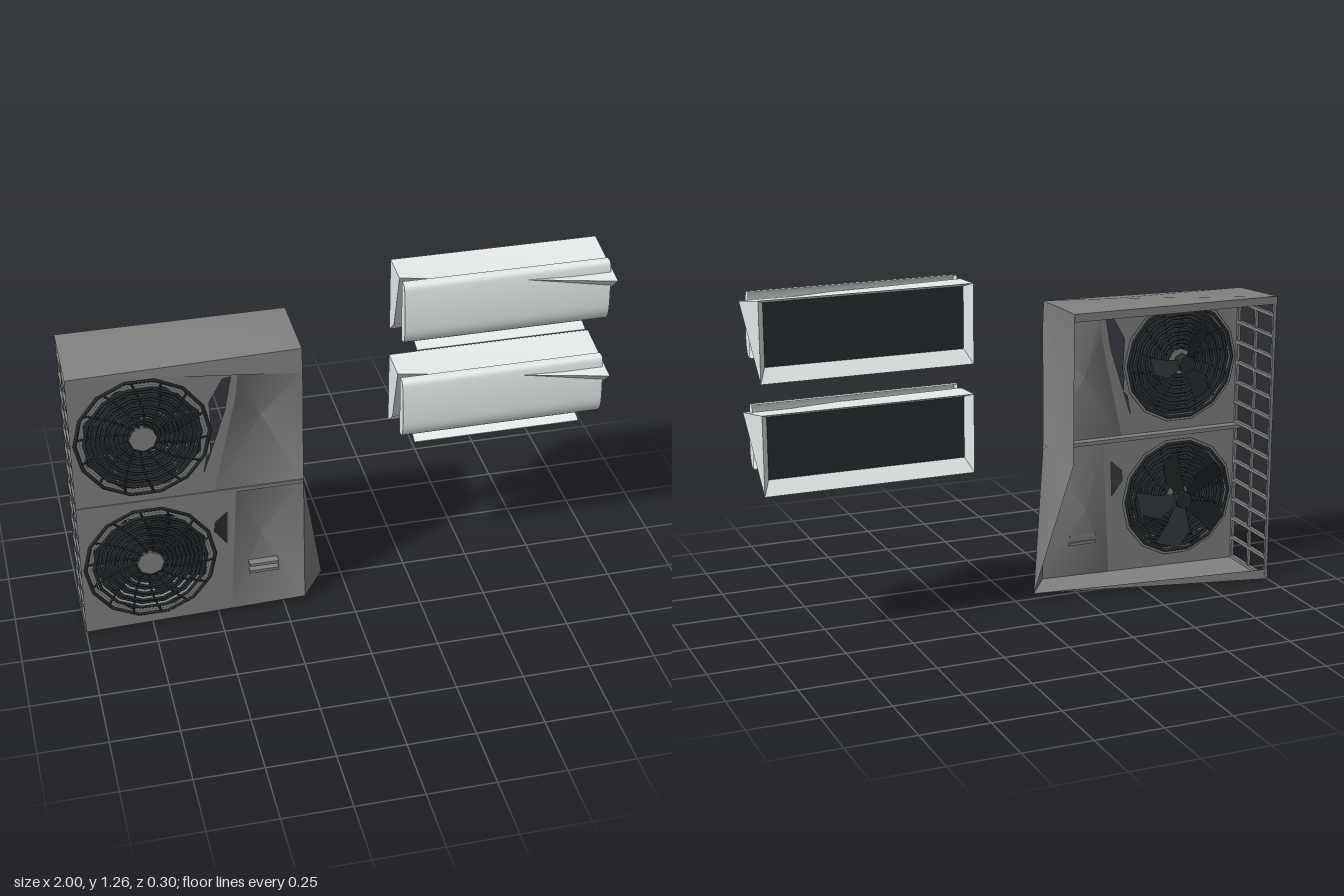
import * as THREE from 'three';
import { toCreasedNormals } from 'three/addons/utils/BufferGeometryUtils.js';

const V = (x, y) => new THREE.Vector2(x, y);
const mat = (color) => new THREE.MeshStandardMaterial({ color, side: THREE.DoubleSide });
const grey = mat(0x828282), dark = mat(0x262d30), white = mat(0xe6ebeb);

function add(parent, name, geometry, material, x = 0, y = 0, z = 0) {
  const mesh = new THREE.Mesh(geometry, material);
  mesh.name = name;
  mesh.position.set(x, y, z);
  parent.add(mesh);
  return mesh;
}

// Folded sheet from corner points and triangles
function sheet(points, faces) {
  const g = new THREE.BufferGeometry();
  g.setAttribute('position', new THREE.Float32BufferAttribute(points.flat(), 3));
  g.setIndex(faces.flat());
  return toCreasedNormals(g, 0.7);
}

// Triangle fan from a centre point around a ring of corners
function fan(centre, ring) {
  return sheet([centre, ...ring], ring.map((_, i) => [0, i + 1, ((i + 1) % ring.length) + 1]));
}

// Fan opening with guard rings, spokes, hub and blades
function createFan(blades, bladeScale) {
  const g = new THREE.Group();
  g.name = 'fan';
  const frame = add(g, 'guardFrame', new THREE.RingGeometry(0.22, 0.258, 8), grey, 0, 0, 0.141);
  frame.rotation.z = Math.PI / 8;
  for (let i = 0; i < 12; i++) {
    const r = 0.06 + i * 0.0163;
    add(g, 'guardRing', new THREE.TorusGeometry(r, 0.0065, 4, 14), dark, 0, 0, i % 2 ? 0.142 : 0.135);
  }
  for (let i = 0; i < 14; i++) {
    const a = (i / 14) * Math.PI * 2;
    const p = (r, t) => new THREE.Vector3(r * Math.cos(a + t), r * Math.sin(a + t), 0.143);
    const curve = new THREE.QuadraticBezierCurve3(p(0.045, 0), p(0.13, 0.1), p(0.235, 0.35));
    add(g, 'guardSpoke', new THREE.TubeGeometry(curve, 5, 0.004, 4), dark);
  }
  add(g, 'guardHub', new THREE.CylinderGeometry(0.05, 0.05, 0.01, 8), grey, 0, 0, 0.144).rotation.x = Math.PI / 2;
  add(g, 'bladeHub', new THREE.CylinderGeometry(0.035, 0.035, 0.05, 8), dark, 0, 0, 0.1).rotation.x = Math.PI / 2;
  const blade = new THREE.Shape([V(0.03, -0.02), V(0.11, -0.065), V(0.19, -0.04), V(0.195, 0.05), V(0.11, 0.03), V(0.03, 0.025)]);
  for (let i = 0; i < blades; i++) {
    const pivot = new THREE.Group();
    pivot.name = 'bladePivot';
    pivot.rotation.z = (i / blades) * Math.PI * 2;
    const mesh = add(pivot, 'blade', new THREE.ShapeGeometry(blade), dark, 0, 0, 0.09);
    mesh.rotation.x = 0.4;
    mesh.scale.setScalar(bladeScale);
    g.add(pivot);
  }
  return g;
}

// Front sheet around one fan, with the round opening and a gap beside it
function fanPanel(outline, cy, gap) {
  const shape = new THREE.Shape(outline);
  const hole = new THREE.Path();
  hole.absarc(-0.745, cy, 0.225, 0, Math.PI * 2, true);
  shape.holes.push(hole, new THREE.Path(gap));
  return new THREE.ShapeGeometry(shape, 16);
}

function createOutdoorUnit() {
  const g = new THREE.Group();
  g.name = 'outdoorUnit';
  const F = 0.137, B = -0.145, L = -1, R = -0.17, M = 0.553;
  const peak = [-0.075, 0.02, 0], corner = [R, 1.02, 0.145];
  const topCorner = [R, 1.115, F], foot = [R, 0.02, F];

  // Front panels and the dented service panels beside them
  add(g, 'lowerFrontPanel', fanPanel(
    [V(L, 0), V(-0.45, 0.013), V(-0.42, M), V(L, M)], 0.285,
    [V(-0.455, 0.46), V(-0.5, 0.42), V(-0.505, 0.38), V(-0.46, 0.32)]), grey, 0, 0, F);
  add(g, 'upperFrontPanel', fanPanel(
    [V(L, M), V(-0.5, M), V(-0.41, 0.95), V(-0.4, 1.04), V(L, 1.1)], 0.83,
    [V(-0.425, 1.035), V(-0.455, 1.03), V(-0.505, 0.94), V(-0.5, 0.82), V(-0.535, 0.64), V(-0.45, 0.9)]), grey, 0, 0, F);
  add(g, 'lowerServicePanel', fan([-0.32, 0.3, 0.07],
    [[-0.45, 0.013, F], foot, [R, M, F], [-0.42, M, F]]), grey);
  add(g, 'upperServicePanel', fan([-0.31, 0.82, 0.07],
    [[-0.5, M, F], [R, M, F], corner, [-0.4, 1.04, F], [-0.41, 0.95, F]]), grey);

  // Pipe valves in the service recess
  for (const y of [0.16, 0.19]) add(g, 'valve', new THREE.BoxGeometry(0.11, 0.012, 0.03), grey, -0.32, y, 0.11);

  // Folded top, side and base sheets
  add(g, 'topCover', fan([-0.38, 1.133, 0], [[L, 1.1, F], topCorner, [R, 1.12, B], [L, 1.12, B]]), grey);
  add(g, 'frontLip', sheet([[L, 1.1, F], corner, topCorner], [[0, 1, 2]]), grey);
  add(g, 'upperSide', fan([-0.21, 0.88, 0.06], [[R, M, F], [R, M, B], [R, 1.12, B], topCorner, corner]), grey);
  add(g, 'lowerSide', sheet([[R, M, F], [R, M, B], foot, peak], [[0, 3, 1], [0, 2, 3]]), grey);
  add(g, 'base', sheet([[L, 0, F], [L, 0, B], peak, foot], [[0, 1, 2], [0, 2, 3]]), grey);

  // Lips around the open back and the divider between the fans
  add(g, 'topLip', new THREE.BoxGeometry(0.83, 0.03, 0.006), grey, -0.585, 1.105, B + 0.003);
  add(g, 'baseLip', sheet([[L, 0, B], [L, 0.04, B], peak], [[0, 1, 2]]), grey);
  add(g, 'divider', new THREE.BoxGeometry(0.83, 0.015, 0.04), grey, -0.585, M, 0.12);

  // Open ladder grille on the outer side
  for (const z of [-0.139, -0.005, 0.131]) add(g, 'grillePost', new THREE.BoxGeometry(0.012, 1.1, 0.01), grey, -0.993, 0.55, z);
  for (let i = 0; i < 14; i++) add(g, 'grilleRung', new THREE.BoxGeometry(0.014, 0.012, 0.28), grey, -0.993, 0.006 + i * 0.08, -0.004);

  const lower = createFan(5, 1), upper = createFan(3, 0.75);
  lower.position.set(-0.745, 0.285, 0);
  upper.position.set(-0.745, 0.83, 0);
  g.add(lower, upper);
  return g;
}

// Wall unit, built with its lower back edge at y = 0
function createIndoorUnit() {
  const g = new THREE.Group();
  g.name = 'indoorUnit';
  const xl = 0.22, xr = 0.995, B = -0.147;

  // Housing: a slim left profile that widens to a pointed right end
  const left = [[B, 0.29], [-0.02, 0.283], [-0.085, 0.055], [B, 0]];
  const right = [[B, 0.29], [0.108, 0.24], [-0.085, 0.058], [B, 0]];
  const pts = [...left.map(([z, y]) => [xl, y, z]), ...right.map(([z, y]) => [xr, y, z])];
  const sides = [0, 1, 2].flatMap((i) => [[i, i + 1, i + 5], [i, i + 5, i + 4]]);
  add(g, 'housing', sheet(pts, [...sides, [0, 3, 2], [0, 2, 1], [4, 5, 6], [4, 6, 7]]), white);

  // Curved front cover with closed ends
  const profile = new THREE.CatmullRomCurve3([[0.015, 0.288], [0.045, 0.285], [0.056, 0.25], [0.067, 0.15], [0.065, 0.09], [0.048, 0.057], [0.02, 0.053]]
    .map(([z, y]) => new THREE.Vector3(0, y, z)));
  const cover = new THREE.PlaneGeometry(1, 1, 1, 20);
  const pos = cover.attributes.position;
  for (let i = 0; i < pos.count; i++) {
    const p = profile.getPoint(0.5 - pos.getY(i));
    pos.setXYZ(i, pos.getX(i) < 0 ? xl : 0.985, p.y, p.z);
  }
  cover.computeVertexNormals();
  add(g, 'frontCover', cover, white);
  const end = new THREE.ShapeGeometry(new THREE.Shape(profile.getPoints(20).map((p) => V(-p.z, p.y))));
  for (const x of [xl, 0.985]) add(g, 'coverEnd', end, white, x).rotation.y = Math.PI / 2;

  // Air flap tilted down below the cover
  add(g, 'airFlap', new THREE.BoxGeometry(0.64, 0.005, 0.068), white, 0.6, 0.008, -0.015).rotation.x = 0.35;

  // Back opening: walls sloping in to a recessed dark plate
  const z = B + 0.035;
  const rect = (x0, x1, y0, y1, d) => [[x0, y0, d], [x1, y0, d], [x1, y1, d], [x0, y1, d]];
  const walls = [0, 1, 2, 3].flatMap((i) => [[i, i + 4, 4 + (i + 1) % 4], [i, 4 + (i + 1) % 4, (i + 1) % 4]]);
  add(g, 'backWalls', sheet([...rect(xl, xr, 0, 0.29, B), ...rect(xl + 0.025, xr - 0.025, 0.05, 0.275, z)], walls), white);
  add(g, 'backPlate', new THREE.PlaneGeometry(xr - xl - 0.05, 0.225), dark, (xl + xr) / 2, 0.1625, z);
  return g;
}

export function createModel() {
  const model = new THREE.Group();
  model.name = 'airConditioner';
  model.add(createOutdoorUnit());
  for (const y of [0.575, 0.975]) {
    const unit = createIndoorUnit();
    unit.position.y = y;
    model.add(unit);
  }
  return model;
}
